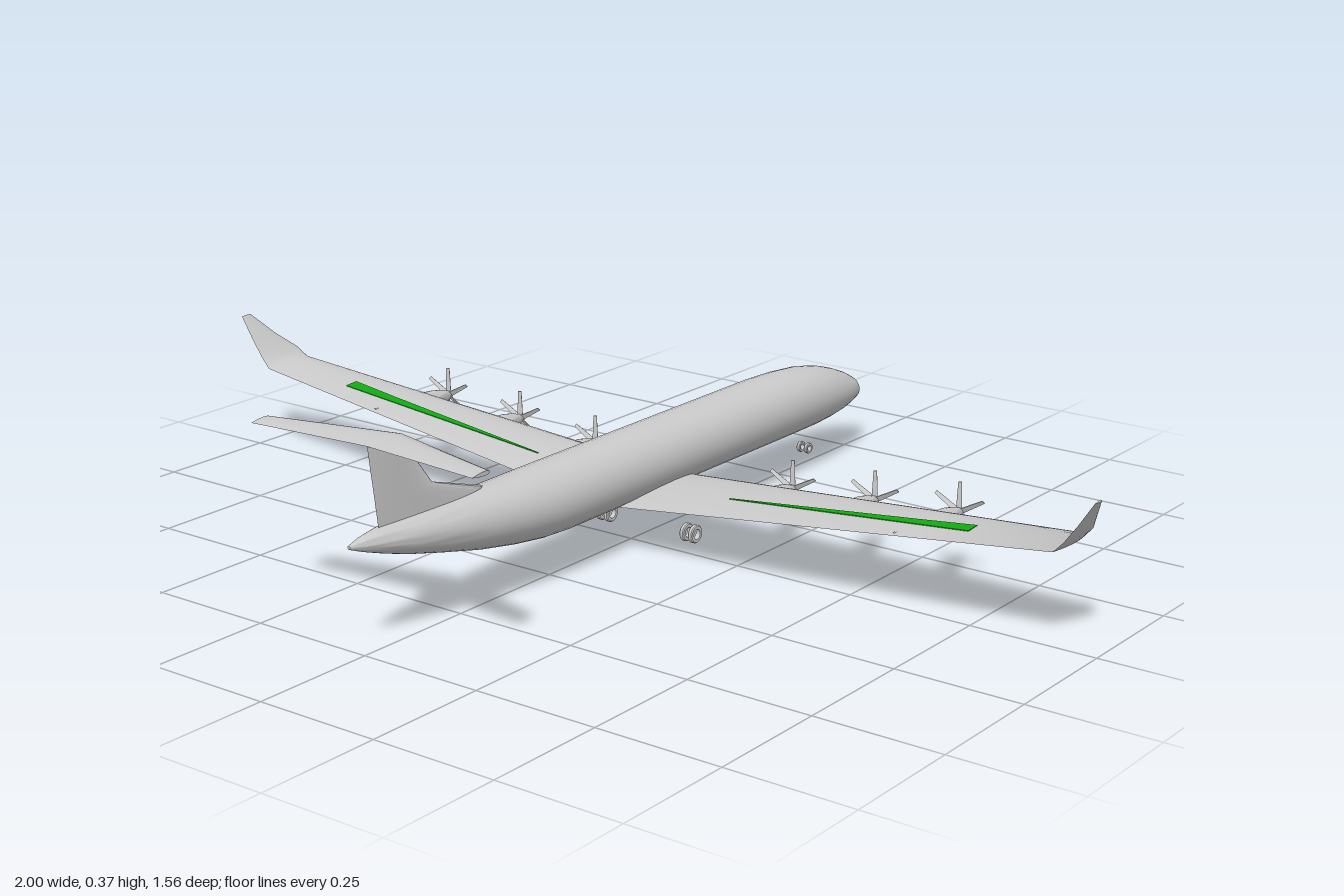
import * as THREE from 'three';
import { toCreasedNormals } from 'three/addons/utils/BufferGeometryUtils.js';

const grey = new THREE.MeshStandardMaterial({ color: 0xcccccc });
const green = new THREE.MeshStandardMaterial({ color: 0x11aa11 });

// Closed skin through rings of [x, y, z] points, turned to face outwards
function loft(rings, crease = 0.7) {
  const n = rings[0].length, pos = rings.flat(2), idx = [];
  rings.slice(1).forEach((_, r) => {
    for (let i = 0; i < n; i++) {
      const a = r * n + i, b = r * n + (i + 1) % n;
      idx.push(a, b, a + n, b, b + n, a + n);
    }
  });
  [0, rings.length - 1].forEach((r, end) => {
    const c = pos.length / 3;
    for (let k = 0; k < 3; k++) pos.push(rings[r].reduce((s, p) => s + p[k], 0) / n);
    for (let i = 0; i < n; i++) {
      const a = r * n + i, b = r * n + (i + 1) % n;
      idx.push(...(end ? [a, b, c] : [b, a, c]));
    }
  });
  const v = i => new THREE.Vector3().fromArray(pos, i * 3);
  let volume = 0;
  for (let i = 0; i < idx.length; i += 3) volume += v(idx[i]).dot(v(idx[i + 1]).cross(v(idx[i + 2])));
  if (volume < 0) idx.reverse();
  const g = new THREE.BufferGeometry();
  g.setAttribute('position', new THREE.Float32BufferAttribute(pos, 3));
  g.setIndex(idx);
  return toCreasedNormals(g, crease);
}

function add(parent, name, geometry, material = grey) {
  const m = new THREE.Mesh(geometry, material);
  m.name = name;
  parent.add(m);
  return m;
}

// Elliptical ring across the z axis
const oval = (z, y, rx, ry, n = 32) => Array.from({ length: n }, (_, i) => {
  const a = i / n * Math.PI * 2;
  return [Math.cos(a) * rx, y + Math.sin(a) * ry, z];
});

// Half thickness of a streamlined section at chord fraction f
const half = (f, t) => Math.max(0, 5 * t *
  (0.2969 * Math.sqrt(f) - 0.126 * f - 0.3516 * f * f + 0.2843 * f ** 3 - 0.1036 * f ** 4));

// Streamlined section from z0 to z1; (nx, ny) is its thickness direction
function foil(x, y, z0, z1, t, nx = 0, ny = 1) {
  const N = 20;
  return Array.from({ length: N }, (_, i) => {
    const a = i / N * Math.PI * 2, f = (1 - Math.cos(a)) / 2;
    const h = half(f, t) * Math.sign(Math.sin(a));
    return [x + nx * h, y + ny * h, z0 + (z1 - z0) * f];
  });
}

// Wing values along the span between root and winglet joint
function wingAt(x) {
  const k = x / 0.93, mix = THREE.MathUtils.lerp;
  return { y: mix(0.094, 0.187, k), z0: mix(-0.143, -0.08, k), z1: mix(0.098, 0.037, k), t: mix(0.032, 0.012, k) };
}

export function createModel() {
  const plane = new THREE.Group();
  plane.name = 'airplane';

  // Fuselage: z, top, bottom, half width
  const stations = [
    [-0.782, 0.126, 0.118, 0.005], [-0.775, 0.139, 0.111, 0.017], [-0.755, 0.154, 0.102, 0.032],
    [-0.725, 0.17, 0.096, 0.043], [-0.685, 0.186, 0.09, 0.053], [-0.64, 0.2, 0.086, 0.06],
    [-0.58, 0.212, 0.084, 0.067], [-0.5, 0.219, 0.084, 0.071], [-0.42, 0.222, 0.084, 0.072],
    [0.24, 0.222, 0.084, 0.072], [0.3, 0.222, 0.087, 0.071], [0.38, 0.222, 0.097, 0.066],
    [0.47, 0.222, 0.113, 0.058], [0.56, 0.222, 0.134, 0.047], [0.64, 0.221, 0.154, 0.036],
    [0.7, 0.22, 0.172, 0.025], [0.75, 0.215, 0.189, 0.013], [0.78, 0.208, 0.201, 0.003]];
  add(plane, 'fuselage', loft(stations.map(([z, t, b, w]) => oval(z, (t + b) / 2, w, (t - b) / 2))));

  // Wing with canted winglets, tip to tip
  const side = s => [
    ...[0.07, 0.35, 0.65, 0.925].map(x => {
      const w = wingAt(x);
      return foil(s * x, w.y, w.z0, w.z1, w.t);
    }),
    foil(s * 0.945, 0.208, -0.07, 0.037, 0.009, -s * 0.6, 0.8),
    foil(s * 0.97, 0.243, -0.03, 0.037, 0.006, -s * 0.8, 0.6),
    foil(s * 0.999, 0.288, 0.012, 0.037, 0.003, -s * 0.8, 0.6)];
  const c = wingAt(0);
  add(plane, 'wing', loft([...side(-1).reverse(), foil(0, c.y, c.z0, c.z1, c.t), ...side(1)], 0.9));

  // Coloured wedges let into the wing
  const wedge = (s, x, z0, z1, lower) => {
    const w = wingAt(x);
    const h = z => half((z - w.z0) / (w.z1 - w.z0), w.t);
    const p = (z, k) => [s * x, w.y + k * (h(z) + 0.0015), z];
    return [p(z0, 1), p(z1, 1), p(z1, lower), p(z0, lower)];
  };
  for (const s of [-1, 1]) {
    add(plane, 'wingStripe', loft([
      wedge(s, 0.23, -0.002, 0, 0), wedge(s, 0.62, -0.022, 0, -0.7), wedge(s, 0.74, -0.03, 0, -1)]), green);
  }

  // Engines: span position, propeller plane
  const blade = new THREE.BoxGeometry(0.011, 0.05, 0.002);
  const bp = blade.attributes.position;
  for (let i = 0; i < bp.count; i++) if (bp.getY(i) > 0) bp.setX(i, bp.getX(i) * 0.6);
  blade.rotateY(0.5).translate(0, 0.033, 0);
  const body = [[-0.012, 0.002, 0], [-0.006, 0.007, 0], [0.004, 0.01, 0], [0.02, 0.015, 0], [0.045, 0.02, 0],
    [0.075, 0.022, 0], [0.11, 0.02, 0.003], [0.15, 0.015, 0.009], [0.19, 0.009, 0.016], [0.225, 0.002, 0.022]];
  for (const s of [-1, 1]) {
    for (const [x, z] of [[0.24, -0.195], [0.43, -0.187], [0.617, -0.178]]) {
      const engine = new THREE.Group();
      engine.name = 'engine';
      engine.position.set(s * x, wingAt(x).y - 0.021, z);
      add(engine, 'nacelle', loft(body.map(([d, r, lift]) => oval(d, lift, r, r, 20))));
      for (let i = 0; i < 6; i++) add(engine, 'propellerBlade', blade).rotation.z = i * Math.PI / 3;
      plane.add(engine);
    }
  }

  // Fin with swept fillet at its base, lofted upwards
  const fin = [[0.2, 0.45, 0.7, 0.022], [0.224, 0.434, 0.707, 0.022], [0.266, 0.568, 0.713, 0.018],
    [0.369, 0.648, 0.728, 0.011]];
  add(plane, 'fin', loft(fin.map(([y, z0, z1, t]) => foil(0, y, z0, z1, t, 1, 0))));

  // Tailplane on top of the fin
  const tail = [[-0.25, 0.705, 0.75], [0, 0.64, 0.728], [0.25, 0.705, 0.75]];
  add(plane, 'tailplane', loft(tail.map(([x, z0, z1]) => foil(x, 0.37, z0, z1, 0.008))));

  // Wheels: x, y, z, radius, half width
  for (const s of [-1, 1]) {
    for (const [x, y, z, r, w] of [[0.092, 0.019, -0.055, 0.018, 0.005], [0.112, 0.019, -0.055, 0.018, 0.005],
      [0.009, 0.034, -0.597, 0.0115, 0.004]]) {
      const k = r * 0.55;
      const tyre = new THREE.LatheGeometry([[k, -w], [r * 0.9, -w], [r, -w * 0.6], [r, w * 0.6], [r * 0.9, w],
        [k, w], [k, -w]].map(p => new THREE.Vector2(...p)), 24).rotateZ(Math.PI / 2);
      add(plane, r > 0.015 ? 'mainWheel' : 'noseWheel', toCreasedNormals(tyre, 0.6)).position.set(s * x, y - 0.001, z);
    }
  }
  return plane;
}
